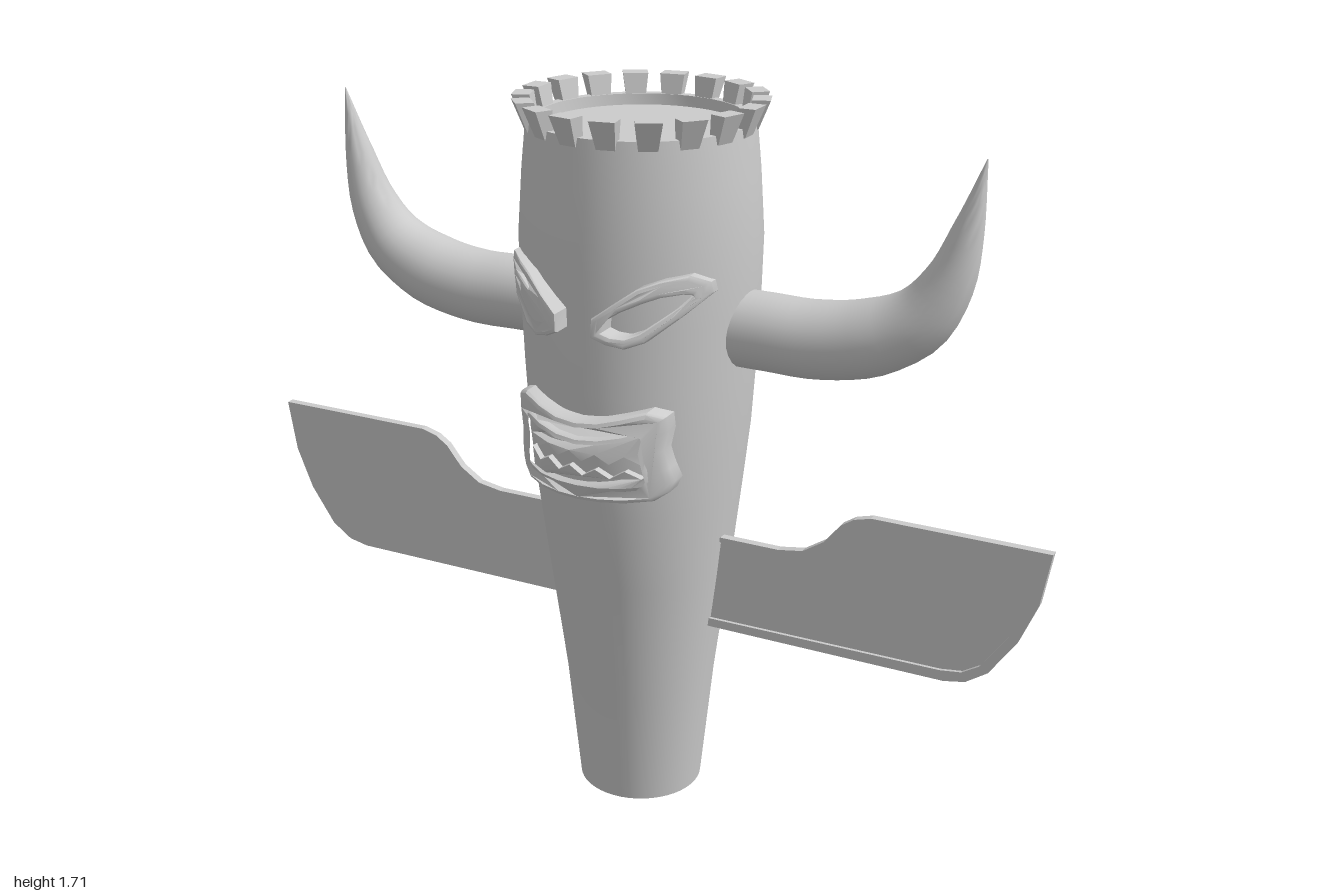
import * as THREE from 'three';
import { toCreasedNormals } from 'three/addons/utils/BufferGeometryUtils.js';

const AXIS_Z = -0.025;
// Trunk profile rows: height, half width in x, half depth in z
const PROFILE = [
  [0, 0.15, 0.15], [0.3, 0.18, 0.178], [0.6, 0.216, 0.225], [0.8, 0.237, 0.26], [0.95, 0.253, 0.276],
  [1.1, 0.263, 0.279], [1.25, 0.271, 0.279], [1.4, 0.275, 0.278], [1.55, 0.265, 0.267], [1.66, 0.254, 0.256],
];

// Linear lookup in rows sorted by their first column
function lookup(rows, v, col) {
  for (let i = 1; i < rows.length; i++) {
    const [a, b] = [rows[i - 1], rows[i]];
    if (v <= b[0]) return THREE.MathUtils.lerp(a[col], b[col], Math.max(0, (v - a[0]) / (b[0] - a[0])));
  }
  return rows[rows.length - 1][col];
}

function moveVertices(geometry, rule) {
  const pos = geometry.attributes.position;
  const p = new THREE.Vector3();
  for (let i = 0; i < pos.count; i++) {
    p.fromBufferAttribute(pos, i);
    rule(p, i);
    pos.setXYZ(i, p.x, p.y, p.z);
  }
  return geometry;
}

function toShape(points, hole, sign = 1) {
  const vecs = (list) => list.map(([x, y]) => new THREE.Vector2(x * sign, y));
  const shape = new THREE.Shape(vecs(points));
  if (hole) shape.holes.push(new THREE.Path(vecs(hole)));
  return shape;
}

// Extrudes a flat shape and bends it round the front of the trunk
function wrapped(shape, height, bevel, taper = 0) {
  const sunk = 0.03;
  const geo = new THREE.ExtrudeGeometry(shape, {
    depth: height + sunk - bevel, bevelEnabled: bevel > 0, bevelThickness: bevel,
    bevelSize: bevel, bevelOffset: -bevel, bevelSegments: 2,
  });
  moveVertices(geo, (p) => {
    const rx = lookup(PROFILE, p.y, 1), rz = lookup(PROFILE, p.y, 2);
    const lift = p.z - sunk;
    const scale = lift > 0 ? 1 - taper * Math.abs(p.x) / 0.25 : 1;
    p.z = AXIS_Z + rz * Math.sqrt(Math.max(0, 1 - (p.x / rx) ** 2)) + lift * scale;
  });
  return toCreasedNormals(geo, 0.6);
}

export function createModel() {
  const model = new THREE.Group();
  const material = new THREE.MeshStandardMaterial({ color: 0xcccccc });
  const add = (name, geometry, parent = model) => {
    const mesh = new THREE.Mesh(geometry, material);
    mesh.name = name;
    parent.add(mesh);
    return mesh;
  };

  // Trunk with a shallow recess in its top
  const outline = [[0, 0], ...PROFILE.map(([y, rx]) => [rx, y]), [0.232, 1.66], [0.23, 1.635], [0, 1.635]];
  const trunk = new THREE.LatheGeometry(outline.map(([x, y]) => new THREE.Vector2(x, y)), 48);
  moveVertices(trunk, (p) => { p.z *= lookup(PROFILE, p.y, 2) / lookup(PROFILE, p.y, 1); });
  add('trunk', toCreasedNormals(trunk, 0.6)).position.z = AXIS_Z;

  // Crown of flared teeth
  const crown = new THREE.Group();
  crown.name = 'crown';
  crown.position.z = AXIS_Z;
  model.add(crown);
  const tooth = new THREE.BoxGeometry(1, 1, 1);
  moveVertices(tooth, (p) => {
    const top = p.y > 0, outer = p.z > 0;
    p.x *= top ? 0.058 : 0.042;
    p.y = top ? 1.705 : 1.64;
    p.z = outer ? (top ? 0.284 : 0.258) : (top ? 0.243 : 0.232);
  });
  tooth.computeVertexNormals();
  const count = 18;
  for (let i = 0; i < count; i++) {
    add('crownTooth', tooth, crown).rotation.y = ((i + 0.5) / count) * Math.PI * 2;
  }

  // Horns: tapering tubes curving upward
  const hornPath = [[0.2, 1.21], [0.32, 1.21], [0.43, 1.21], [0.56, 1.235], [0.66, 1.29],
    [0.72, 1.38], [0.755, 1.5], [0.785, 1.65]];
  const hornRadius = [[0, 0.088], [0.27, 0.088], [0.42, 0.086], [0.55, 0.075], [0.68, 0.056],
    [0.82, 0.034], [1, 0.001]];
  function horn(sign) {
    const curve = new THREE.CatmullRomCurve3(hornPath.map(([x, y]) => new THREE.Vector3(x * sign, y, -0.022)));
    const steps = 28, sides = 24;
    const geo = new THREE.TubeGeometry(curve, steps, 1, sides);
    moveVertices(geo, (p, i) => {
      const t = Math.floor(i / (sides + 1)) / steps;
      const c = curve.getPointAt(t);
      p.sub(c).multiplyScalar(lookup(hornRadius, t, 1)).add(c);
    });
    return toCreasedNormals(geo, 0.8);
  }

  // Wings: flat plates with a raised border on the front
  const wingOuter = [[0.1, 0.465], [0.78, 0.465], [0.83, 0.475], [0.88, 0.51], [0.94, 0.6], [0.98, 0.7],
    [1, 0.826], [0.59, 0.826], [0.55, 0.815], [0.52, 0.795], [0.48, 0.745], [0.43, 0.712], [0.37, 0.702], [0.1, 0.702]];
  const wingInner = [[0.12, 0.485], [0.77, 0.49], [0.82, 0.497], [0.86, 0.522], [0.92, 0.61], [0.957, 0.7],
    [0.975, 0.806], [0.59, 0.806], [0.56, 0.798], [0.53, 0.775], [0.49, 0.73], [0.435, 0.697], [0.37, 0.69], [0.12, 0.69]];
  const flat = (depth) => ({ depth, bevelEnabled: false });

  // Eyes: slanted almond rims
  const eyeOuter = [[0.04, 1.25], [0.07, 1.235], [0.107, 1.225], [0.145, 1.238], [0.2, 1.285], [0.246, 1.33],
    [0.243, 1.355], [0.215, 1.378], [0.17, 1.372], [0.13, 1.358], [0.085, 1.325], [0.042, 1.292]];
  const eyeInner = [[0.064, 1.263], [0.082, 1.254], [0.108, 1.25], [0.135, 1.26], [0.18, 1.295], [0.22, 1.328],
    [0.218, 1.334], [0.205, 1.338], [0.17, 1.336], [0.14, 1.326], [0.1, 1.308], [0.066, 1.286]];

  for (const [side, sign] of [['left', 1], ['right', -1]]) {
    add(side + 'Horn', horn(sign));
    add(side + 'WingPlate', new THREE.ExtrudeGeometry(toShape(wingOuter, null, sign), flat(0.012))).position.z = -0.008;
    add(side + 'WingBorder', new THREE.ExtrudeGeometry(toShape(wingOuter, wingInner, sign), flat(0.008))).position.z = 0.004;
    add(side + 'EyeRim', wrapped(toShape(eyeOuter, eyeInner, sign), 0.058, 0.01, 0.6));
  }

  // Mouth: each half outline runs from top centre to bottom centre
  const mirrored = (half) => [...half, ...half.slice(1, -1).reverse().map(([x, y]) => [-x, y])];
  const lipOuter = mirrored([[0, 1.052], [0.05, 1.056], [0.1, 1.068], [0.15, 1.08], [0.182, 1.065], [0.184, 1.03],
    [0.176, 0.985], [0.184, 0.94], [0.191, 0.905], [0.182, 0.88], [0.155, 0.862], [0.1, 0.86], [0.05, 0.86], [0, 0.86]]);
  const lipInner = mirrored([[0, 1.012], [0.05, 1.016], [0.1, 1.026], [0.135, 1.036], [0.15, 1.032], [0.153, 1.015],
    [0.147, 0.985], [0.153, 0.945], [0.158, 0.915], [0.152, 0.9], [0.14, 0.892], [0.1, 0.889], [0.05, 0.888], [0, 0.888]]);
  add('lips', wrapped(toShape(lipOuter, lipInner), 0.048, 0.012));

  // Two rows of jagged teeth inside the lips
  function teethRow(back, low, high) {
    const steps = 10, points = [];
    for (let i = 0; i <= steps; i++) points.push([-0.16 + (0.32 * i) / steps, i % 2 ? low : high]);
    for (let i = steps; i >= 0; i--) points.push([-0.16 + (0.32 * i) / steps, back]);
    return wrapped(toShape(points), 0.018, 0);
  }
  add('upperTeeth', teethRow(1.015, 0.948, 0.968));
  add('lowerTeeth', teethRow(0.88, 0.912, 0.932));

  return model;
}
